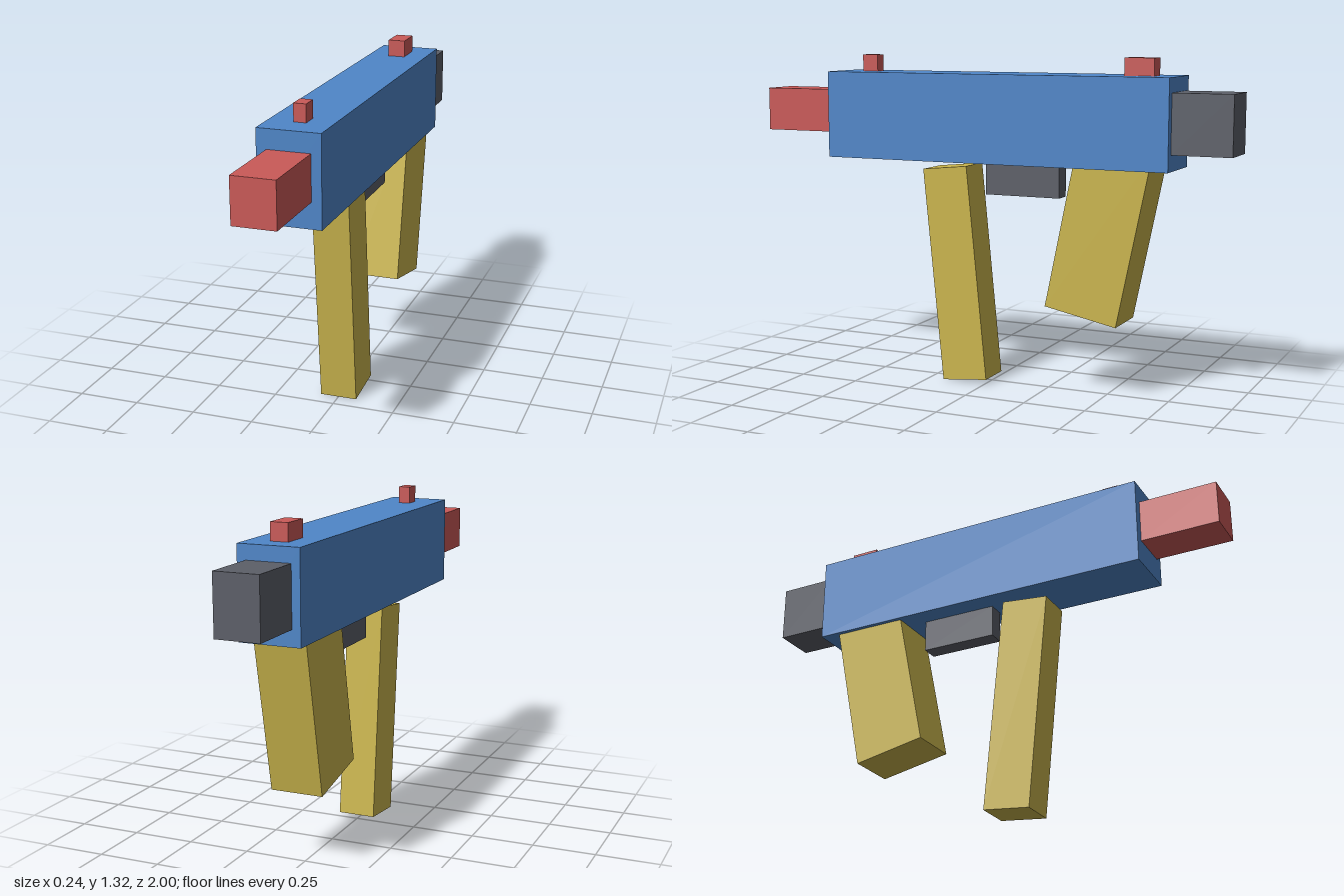
import * as THREE from 'three';

const material = (name, color) => {
  const m = new THREE.MeshStandardMaterial({ color });
  m.name = name;
  return m;
};

export function createModel() {
  const model = new THREE.Group();
  model.name = 'blockBlaster';

  const blue = material('blue', 0x4f86c8);
  const red = material('red', 0xca5a58);
  const yellow = material('yellow', 0xcab54d);
  const grey = material('grey', 0x5c5f68);

  // Box centred on x = 0, given its width and its y and z ranges
  const block = (name, mat, width, [y0, y1], [z0, z1]) => {
    const mesh = new THREE.Mesh(new THREE.BoxGeometry(width, y1 - y0, z1 - z0), mat);
    mesh.position.set(0, (y0 + y1) / 2, (z0 + z1) / 2);
    mesh.name = name;
    model.add(mesh);
  };

  // Box leaning in z, placed by the centre of its bottom face
  const grip = (name, width, height, depth, y, z, lean) => {
    const geometry = new THREE.BoxGeometry(width, height, depth).translate(0, height / 2, 0);
    const mesh = new THREE.Mesh(geometry, yellow);
    mesh.position.set(0, y, z);
    mesh.rotation.x = lean;
    mesh.name = name;
    model.add(mesh);
  };

  // Body with barrel and stock
  block('body', blue, 0.242, [0.9, 1.25], [-0.767, 0.685]);
  block('barrel', red, 0.165, [1.0, 1.175], [0.685, 1]);
  block('stock', grey, 0.175, [0.963, 1.193], [-1, -0.767]);

  // Sights on top, trigger guard below
  block('frontSight', red, 0.048, [1.25, 1.318], [0.506, 0.574]);
  block('rearSight', red, 0.07, [1.25, 1.318], [-0.681, -0.563]);
  block('triggerGuard', grey, 0.07, [0.77, 0.9], [-0.303, 0.01]);

  // Magazine and handle
  grip('magazine', 0.15, 0.868, 0.193, 0.01, 0.089, 0.1);
  grip('handle', 0.208, 0.68, 0.298, 0.324, -0.42, -0.2);

  return model;
}
